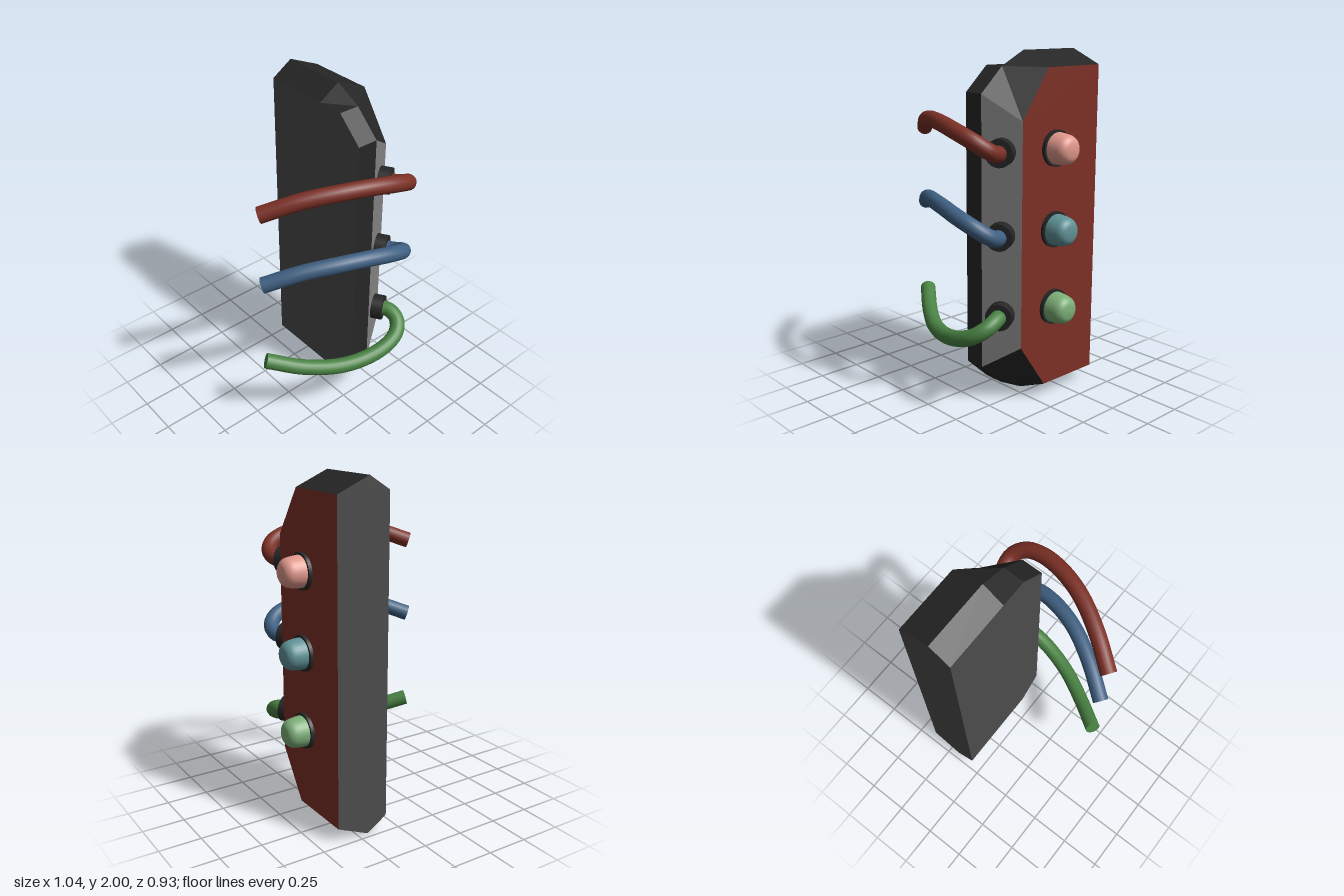
import * as THREE from 'three';

const mat = (name, color) => {
  const m = new THREE.MeshStandardMaterial({ color });
  m.name = name;
  return m;
};

export function createModel() {
  const black = mat('black', 0x262626);
  const panelGrey = mat('panel grey', 0x828282);
  const caseGrey = mat('case grey', 0x4c4c4c);
  const red = mat('red', 0x7c3026);
  const blue = mat('blue', 0x3f6082);
  const green = mat('green', 0x4a8444);
  const pink = mat('pink', 0xe0988c);
  const teal = mat('teal', 0x5f9297);
  const lightGreen = mat('light green', 0x7cae78);

  const model = new THREE.Group();
  const add = (parent, name, geometry, material) => {
    const mesh = new THREE.Mesh(geometry, material);
    mesh.name = name;
    parent.add(mesh);
    return mesh;
  };

  // Case: flat convex polygons, each turned to face away from the middle
  const V = (x, y, z) => new THREE.Vector3(x, y, z);
  const middle = V(0.225, 1, -0.1);
  const facesGeometry = (polygons) => {
    const points = [];
    for (const p of polygons) {
      for (let i = 1; i < p.length - 1; i++) {
        const [a, b, c] = [p[0], p[i], p[i + 1]];
        const normal = b.clone().sub(a).cross(c.clone().sub(a));
        const outward = normal.dot(a.clone().sub(middle)) > 0;
        points.push(...(outward ? [a, b, c] : [a, c, b]));
      }
    }
    const g = new THREE.BufferGeometry().setFromPoints(points);
    g.computeVertexNormals();
    return g;
  };
  const flip = (p) => V(p.x, 2 - p.y, p.z);
  const mirrored = (edge) => [...edge, ...edge.map(flip).reverse()];

  const back = -0.465;
  // Upper corners along the left edge, the middle ridge and the right edge
  const L = [V(0.065, 1.92, back), V(0.065, 1.92, -0.06), V(0.065, 1.92, 0.1), V(0.065, 1.78, 0.25)];
  const M = [V(0.19, 2, back), V(0.19, 2, -0.06), V(0.19, 1.92, 0.1), V(0.19, 1.78, 0.25)];
  const R = [V(0.385, 1.915, back), V(0.385, 1.915, -0.06), V(0.385, 1.64, 0.13)];
  const cap = [
    [L[0], L[1], M[1], M[0]], [L[1], M[1], M[2]], [L[1], M[2], L[2]],
    [L[2], L[3], M[3], M[2]], [M[0], M[1], R[1], R[0]],
    [M[1], M[2], R[1]], [M[2], R[2], R[1]], [M[2], M[3], R[2]],
  ];
  const body = new THREE.Group();
  body.name = 'case';
  model.add(body);
  add(body, 'topCap', facesGeometry(cap), black);
  add(body, 'bottomCap', facesGeometry(cap.map((p) => p.map(flip))), black);
  add(body, 'frontStrip', facesGeometry([mirrored([L[3], M[3]])]), black);
  add(body, 'socketPanel', facesGeometry([mirrored([M[3], R[2]])]), panelGrey);
  add(body, 'buttonPanel', facesGeometry([mirrored(R)]), red);
  add(body, 'sideAndBack', facesGeometry([mirrored(L), mirrored([L[0], M[0], R[0]])]), caseGrey);

  // Button dome, turned about its axis
  const dome = new THREE.LatheGeometry(new THREE.SplineCurve([
    [0.09, 0], [0.087, 0.04], [0.078, 0.085], [0.055, 0.11], [0.025, 0.118], [0, 0.12],
  ].map(([r, h]) => new THREE.Vector2(r, h))).getPoints(16), 32);
  const buttonBase = new THREE.CylinderGeometry(0.103, 0.103, 0.022, 32);
  const socketShape = new THREE.CylinderGeometry(0.077, 0.077, 0.07, 28);

  // Cable path: x, height from the socket, z
  const path = [
    [0.3, 0, 0.21], [0.338, 0.002, 0.28], [0.338, 0.035, 0.35], [0.285, 0.08, 0.4],
    [0.18, 0.118, 0.416], [0.03, 0.146, 0.392], [-0.13, 0.15, 0.335],
    [-0.31, 0.122, 0.232], [-0.49, 0.052, 0.105],
  ];
  const panelNormal = V(0.524, 0, 0.852).normalize();

  const rows = [
    { name: 'top', y: 1.475, bend: 1, cable: red, end: caseGrey, button: pink },
    { name: 'middle', y: 1.015, bend: 1, cable: blue, end: blue, button: teal },
    { name: 'bottom', y: 0.555, bend: -1, cable: green, end: green, button: lightGreen },
  ];
  for (const { name, y, bend, cable, end, button } of rows) {
    // Button on the right side
    const buttonGroup = new THREE.Group();
    buttonGroup.name = name + 'Button';
    buttonGroup.position.set(0.385, y, -0.12);
    buttonGroup.rotation.z = -Math.PI / 2;
    add(buttonGroup, 'buttonBase', buttonBase, black).position.y = 0.01;
    add(buttonGroup, 'buttonDome', dome, button).position.y = 0.02;
    model.add(buttonGroup);

    // Socket on the slanted panel
    const socket = add(model, name + 'Socket', socketShape, black);
    socket.quaternion.setFromUnitVectors(V(0, 1, 0), panelNormal);
    socket.position.set(0.288, y, 0.19).addScaledVector(panelNormal, 0.032);

    // Cable with a flat cut end
    const curve = new THREE.CatmullRomCurve3(path.map(([x, h, z]) => V(x, y + h * bend, z)));
    add(model, name + 'Cable', new THREE.TubeGeometry(curve, 40, 0.046, 18), cable);
    const cut = add(model, name + 'CableEnd', new THREE.CircleGeometry(0.046, 18), end);
    cut.position.copy(curve.getPoint(1));
    cut.quaternion.setFromUnitVectors(V(0, 0, 1), curve.getTangent(1));
  }
  return model;
}
